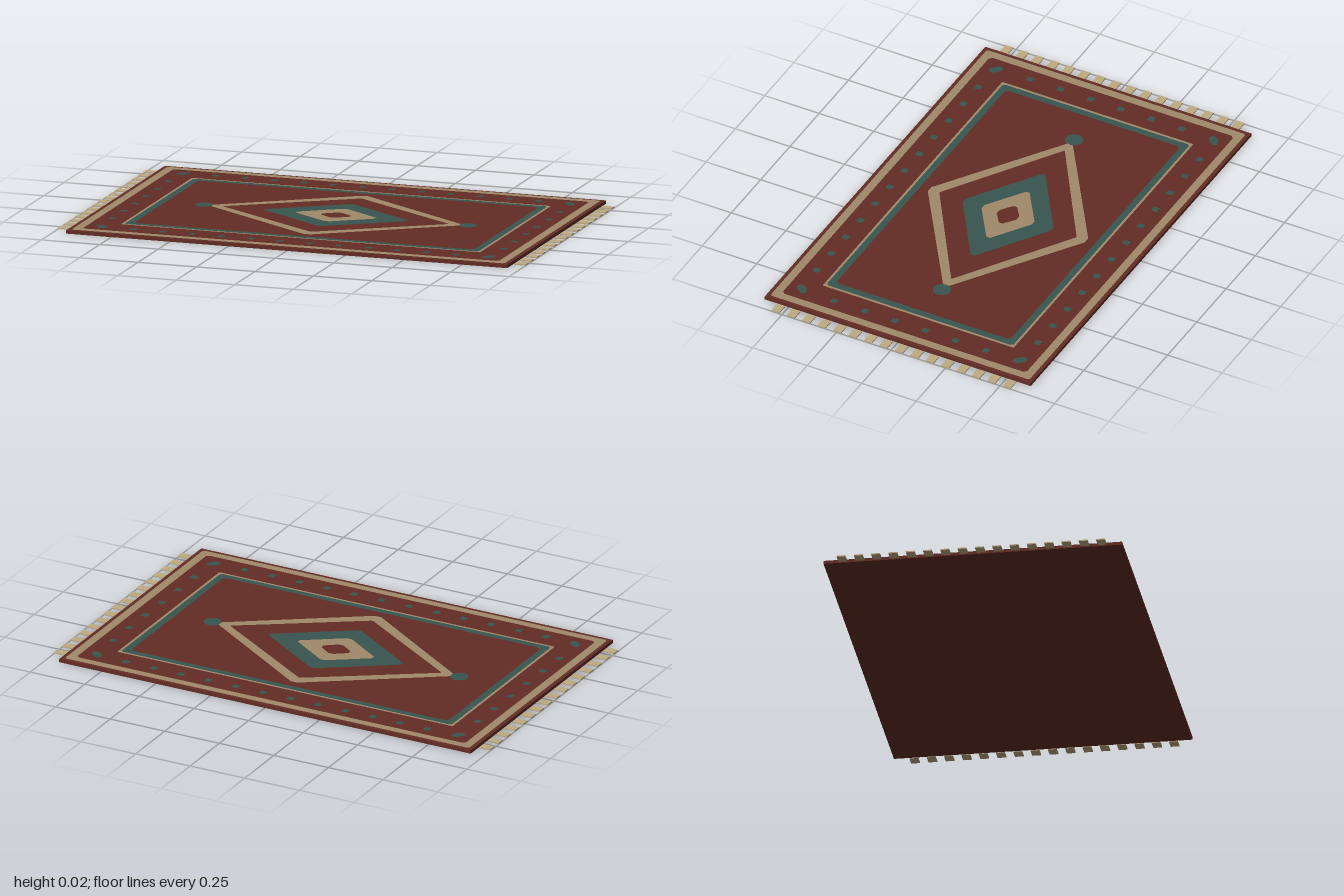
import * as THREE from 'three';

const mat = (name, color) => Object.assign(new THREE.MeshStandardMaterial({ color }), { name });

export function createModel() {
  const rug = new THREE.Group();
  rug.name = 'rug';
  const red = mat('madder red', 0x632c24);
  const teal = mat('teal wool', 0x38564f);
  const tan = mat('tan wool', 0xa08a6a);
  const cream = mat('fringe cream', 0xbfab82);
  const TOP = 0.0135, PILE = 0.0147;

  const box = (name, material, w, h, d, x, y, z) => {
    const m = new THREE.Mesh(new THREE.BoxGeometry(w, h, d), material);
    m.name = name;
    m.position.set(x, y, z);
    rug.add(m);
  };

  // Flat woven shape laid just above the rug's top face
  const weave = (name, material, outline, hole) => {
    const shape = new THREE.Shape(outline);
    if (hole) shape.holes.push(new THREE.Path(hole));
    const geo = new THREE.ShapeGeometry(shape).rotateX(-Math.PI / 2);
    const m = new THREE.Mesh(geo, material);
    m.name = name;
    m.position.y = PILE;
    rug.add(m);
    return m;
  };
  const points = list => list.map(([x, y]) => new THREE.Vector2(x, y));
  // Rectangle with small cut corners
  const rect = (a, b, c = 0.008) => points([
    [a, -b + c], [a, b - c], [a - c, b], [-a + c, b],
    [-a, b - c], [-a, -b + c], [-a + c, -b], [a - c, -b]]);
  // Diamond with slightly blunt tips
  const diamond = (a, b, t = 0.012) => {
    const k = t * b / a;
    return points([[a - t, -k], [a - t, k], [t, b - k], [-t, b - k],
      [-a + t, k], [-a + t, -k], [-t, -b + k], [t, -b + k]]);
  };
  const oval = (rx, ry, n = 16) => Array.from({ length: n }, (_, i) => {
    const a = i / n * Math.PI * 2;
    return new THREE.Vector2(rx * Math.cos(a), ry * Math.sin(a));
  });

  // Body
  box('rugBody', red, 1.886, TOP, 1.22, 0, TOP / 2, 0);

  // Border bands
  weave('outerBand', tan, rect(0.926, 0.594), rect(0.89, 0.56, 0.012));
  weave('innerPiping', tan, rect(0.768, 0.438, 0.003), rect(0.757, 0.428, 0.01));
  weave('innerBand', teal, rect(0.757, 0.428, 0.01), rect(0.727, 0.4, 0.014));

  // Central medallion
  weave('medallionOutline', tan, diamond(0.55, 0.37, 0.015), diamond(0.485, 0.315, 0.004));
  weave('medallionTeal', teal, diamond(0.316, 0.21), diamond(0.182, 0.123));
  weave('medallionTan', tan, diamond(0.182, 0.123), diamond(0.074, 0.054));

  for (const s of [-1, 1]) {
    // Discs at the medallion's tips; only the part beyond the outline shows
    const disc = weave('tipDisc', teal, oval(0.037, 0.037));
    disc.position.set(s * 0.565, PILE + 0.0006, 0);

    // Corner ovals, set across the diagonals
    for (const t of [-1, 1]) {
      const leaf = weave('cornerOval', teal, oval(0.031, 0.018));
      leaf.position.set(s * 0.828, PILE, t * 0.5);
      leaf.rotation.y = -s * t * -Math.PI / 4;
    }

    // Small border squares
    for (let i = 0; i < 12; i++) {
      const dot = weave('borderDot', teal, rect(0.014, 0.014, 0.003));
      dot.position.set((i - 5.5) * 0.1255, PILE, s * 0.508);
    }
    for (let i = 0; i < 6; i++) {
      const dot = weave('sideDot', teal, rect(0.014, 0.014, 0.003));
      dot.position.set(s * 0.836, PILE, (i - 2.5) * 0.139);
    }

    // Fringe tassels
    for (let i = 0; i < 16; i++)
      box('tassel', cream, 0.049, 0.005, 0.036, s * 0.9755, 0.0035, (i - 7.5) * 0.0707);
  }
  return rug;
}
